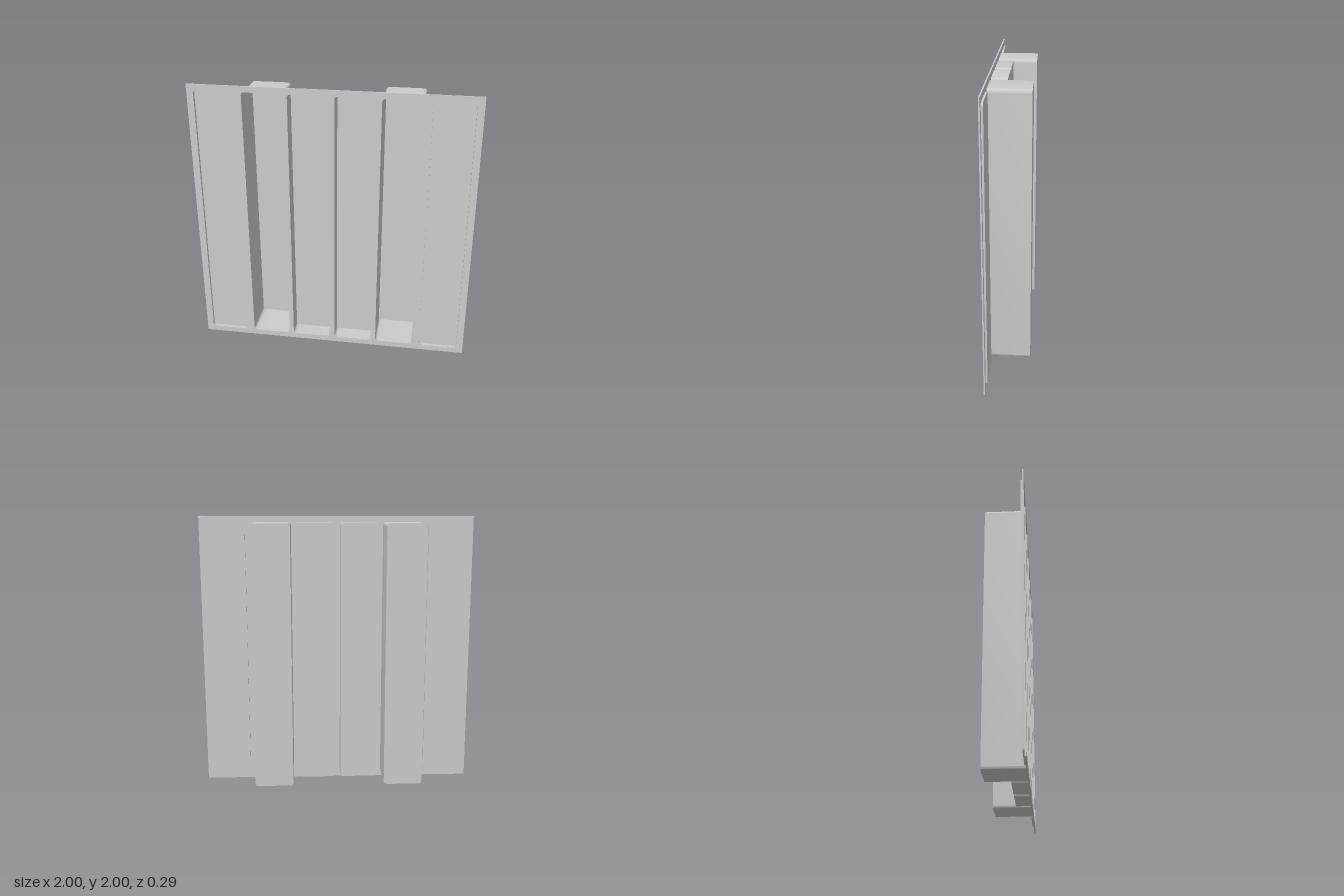
import * as THREE from 'three';
import { toCreasedNormals } from 'three/addons/utils/BufferGeometryUtils.js';

const FRONT = 0.146, THICK = 0.01, Y0 = 0.042, Y1 = 1.958, WIDTH = 0.282, RADIUS = 0.022;

// Rounded rectangle outline of one compartment
function outline(path, cx) {
  const x0 = cx - WIDTH / 2, x1 = cx + WIDTH / 2, r = RADIUS;
  path.absarc(x1 - r, Y0 + r, r, -Math.PI / 2, 0);
  path.absarc(x1 - r, Y1 - r, r, 0, Math.PI / 2);
  path.absarc(x0 + r, Y1 - r, r, Math.PI / 2, Math.PI);
  path.absarc(x0 + r, Y0 + r, r, Math.PI, Math.PI * 1.5);
  path.closePath();
  return path;
}

// Thin upright wall that follows the outline between two depths
function wallGeometry(shape, zBack, zFront) {
  const pts = shape.getPoints(4), pos = [];
  pts.forEach((a, i) => {
    const b = pts[(i + 1) % pts.length];
    if (a.distanceTo(b) < 1e-6) return;
    pos.push(a.x, a.y, zBack, b.x, b.y, zBack, b.x, b.y, zFront);
    pos.push(a.x, a.y, zBack, b.x, b.y, zFront, a.x, a.y, zFront);
  });
  const g = new THREE.BufferGeometry();
  g.setAttribute('position', new THREE.Float32BufferAttribute(pos, 3));
  return toCreasedNormals(g, 0.6);
}

export function createModel() {
  const model = new THREE.Group();
  model.name = 'compartmentTray';
  const solid = new THREE.MeshStandardMaterial({ color: 0xcccccc });
  const thin = new THREE.MeshStandardMaterial({ color: 0xcccccc, side: THREE.DoubleSide });
  const add = (parent, name, geometry, material) => {
    const mesh = new THREE.Mesh(geometry, material);
    mesh.name = name;
    parent.add(mesh);
    return mesh;
  };

  // Compartments, mirrored: centre x and depth of the floor
  const half = [
    { name: 'inner', x: 0.161, floor: 0.024 },
    { name: 'deep', x: 0.477, floor: -0.146 },
    { name: 'outer', x: 0.811, floor: 0.123 },
  ];

  // Square face panel with six openings
  const panel = new THREE.Shape();
  panel.moveTo(-1, 0).lineTo(1, 0).lineTo(1, 2).lineTo(-1, 2).closePath();

  for (const side of [1, -1]) {
    for (const { name, x, floor } of half) {
      panel.holes.push(outline(new THREE.Path(), side * x));

      // Open-fronted trough behind each opening
      const trough = new THREE.Group();
      trough.name = name + (side > 0 ? 'LeftTrough' : 'RightTrough');
      const shape = outline(new THREE.Shape(), side * x);
      add(trough, 'troughWalls', wallGeometry(shape, floor, FRONT - THICK), thin);
      add(trough, 'troughFloor', new THREE.ShapeGeometry(shape, 4), thin).position.z = floor;
      model.add(trough);
    }
  }

  const panelGeometry = new THREE.ExtrudeGeometry(panel, { depth: THICK, bevelEnabled: false, curveSegments: 4 });
  add(model, 'facePanel', panelGeometry, solid).position.z = FRONT - THICK;
  return model;
}
